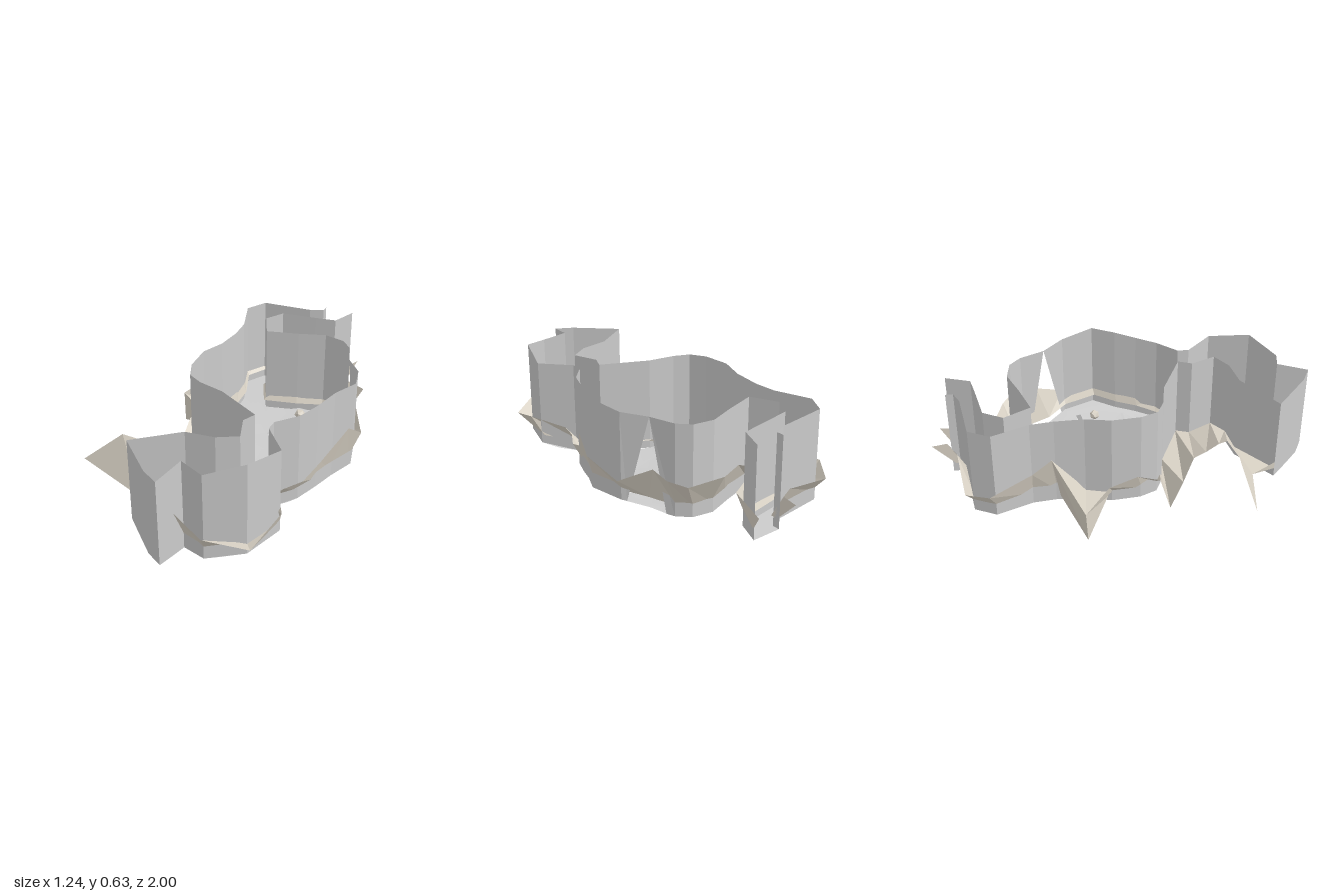
import * as THREE from 'three';
import { mergeVertices } from 'three/addons/utils/BufferGeometryUtils.js';

const grey = { color: 0xcccccc, side: THREE.DoubleSide };
const flatGrey = new THREE.MeshStandardMaterial({ ...grey, flatShading: true });
const smoothGrey = new THREE.MeshStandardMaterial(grey);
const rockMat = new THREE.MeshStandardMaterial({ color: 0xdcd5c8, side: THREE.DoubleSide, flatShading: true });

// Each station: wall x, z, then the outer rim point x, y, z
const rightSide = [
  [0.25, -0.9, 0.28, 0.25, -0.96], [0.2, -0.77, 0.22, 0.27, -0.74],
  [0.09, -0.75, 0.09, 0.3, -0.69], [-0.1, -0.72, -0.05, 0.25, -0.69],
  [-0.16, -0.62, -0.1, 0.22, -0.6], [-0.09, -0.48, -0.04, 0.26, -0.58],
  [0.08, -0.53, 0.06, 0.3, -0.58], [0.22, -0.58, 0.22, 0.32, -0.66],
  [0.33, -0.56, 0.4, 0.3, -0.61], [0.39, -0.5, 0.47, 0.33, -0.54],
  [0.44, -0.37, 0.46, 0.34, -0.42], [0.53, -0.26, 0.56, 0.25, -0.27],
  [0.58, -0.09, 0.62, 0.34, -0.11], [0.52, 0.03, 0.59, 0.42, 0],
  [0.48, 0.14, 0.5, 0.27, 0.13], [0.43, 0.25, 0.46, 0.22, 0.26],
  [0.34, 0.35, 0.4, 0.22, 0.36], [0.34, 0.41, 0.4, 0.24, 0.42],
  [0.47, 0.55, 0.5, 0.27, 0.6], [0.4, 0.76, 0.45, 0.2, 0.83],
  [0.23, 0.87, 0.25, 0.26, 0.93], [0.11, 0.84, 0.09, 0.34, 0.9],
];
const frontEdge = [[0.07, 1], [-0.02, 0.95]];
const leftSide = [
  [-0.22, 0.77, -0.22, 0.2, 0.77], [0, 0.61, -0.24, 0.15, 0.65],
  [0.15, 0.59, -0.24, 0.38, 0.5], [0.25, 0.53, -0.23, 0.36, 0.46],
  [0.2, 0.4, -0.21, 0.3, 0.4], [0.23, 0.33, -0.2, 0.26, 0.34],
  [-0.01, 0.21, -0.24, 0.14, 0.28], [-0.15, 0.18, -0.27, 0, 0.21],
  [-0.23, 0.14, -0.28, 0.2, 0.15],
  [-0.27, 0.05, -0.3, 0.25, 0.03], [-0.28, -0.1, -0.33, 0.22, -0.12],
  [-0.24, -0.23, -0.5, 0.2, -0.26],
  [-0.23, -0.38, -0.27, 0.38, -0.4], [-0.24, -0.5, -0.27, 0.3, -0.5],
  [-0.31, -0.69, -0.36, 0.25, -0.72], [-0.25, -0.8, -0.28, 0.22, -0.84],
  [0.02, -0.83, 0, 0.27, -0.87], [0.09, -0.86, 0.09, 0.28, -0.92],
  [0.09, -0.9, 0.09, 0.27, -1],
];

// Raised plates set in the floor, as x, z corners
const plates = [
  [[0.03, -0.24], [0.06, -0.5], [0.1, -0.53], [0.22, -0.53], [0.26, -0.32]],
  [[0.14, -0.13], [0.48, -0.2], [0.5, -0.07], [0.47, 0.07], [0.3, 0.06], [0.17, 0.03]],
  [[-0.2, -0.05], [-0.07, -0.04], [-0.05, 0.06], [-0.01, 0.13], [-0.17, 0.09]],
];

const floorY = (x, z) => 0.1 + 0.28 * Math.max(0, x - 0.4)
  + 0.02 * Math.exp(-(((z - 0.68) / 0.12) ** 2))
  - 0.035 * Math.exp(-(((x - 0.12) / 0.25) ** 2) - ((z - 0.1) / 0.4) ** 2);
const wallTop = (x, z) => 0.585 + 0.045 * Math.exp(-(((z + 0.05) / 0.2) ** 2)) * (x > 0.3 ? 1 : 0.3)
  + 0.03 * Math.exp(-(((z - 0.76) / 0.08) ** 2)) * (x > 0 ? 1 : -0.6) - (z > 0.84 ? 0.015 : 0);

// Surface between two matching rows of points
function strip(a, b) {
  const pos = [];
  for (let i = 0; i < a.length - 1; i++) {
    pos.push(...a[i], ...a[i + 1], ...b[i + 1], ...a[i], ...b[i + 1], ...b[i]);
  }
  const g = new THREE.BufferGeometry();
  g.setAttribute('position', new THREE.Float32BufferAttribute(pos, 3));
  g.computeVertexNormals();
  return g;
}

// Split every triangle in four
function subdivide(pos) {
  const out = [];
  for (let i = 0; i < pos.length; i += 9) {
    const [a, b, c] = [0, 3, 6].map((k) => new THREE.Vector3().fromArray(pos, i + k));
    const ab = a.clone().lerp(b, 0.5), bc = b.clone().lerp(c, 0.5), ca = c.clone().lerp(a, 0.5);
    for (const v of [a, ab, ca, ab, b, bc, ca, bc, c, ab, bc, ca]) out.push(v.x, v.y, v.z);
  }
  return out;
}

// Rim root: just inside the wall, a little above the floor
function rimRoot([x, z, ox, , oz]) {
  const k = 0.015 / Math.max(0.02, Math.hypot(x - ox, z - oz));
  const ix = x + (x - ox) * k, iz = z + (z - oz) * k;
  return [ix, floorY(ix, iz) + 0.05, iz];
}

export function createModel() {
  const group = new THREE.Group();
  const add = (name, geo, mat) => {
    const m = new THREE.Mesh(geo, mat);
    m.name = name;
    group.add(m);
    return m;
  };

  // Cave floor with openings under the plates
  const toVec = ([x, z]) => new THREE.Vector2(x, -z);
  const shape = new THREE.Shape([...rightSide, ...frontEdge, ...leftSide].map(toVec));
  shape.holes = plates.map((p) => new THREE.Path(p.map(toVec)));
  const flat = new THREE.ShapeGeometry(shape).rotateX(-Math.PI / 2).toNonIndexed();
  const floorPos = subdivide(subdivide(Array.from(flat.attributes.position.array)));
  for (let i = 0; i < floorPos.length; i += 3) floorPos[i + 1] = floorY(floorPos[i], floorPos[i + 2]);
  let floor = new THREE.BufferGeometry();
  floor.setAttribute('position', new THREE.Float32BufferAttribute(floorPos, 3));
  floor = mergeVertices(floor);
  floor.computeVertexNormals();
  add('floor', floor, smoothGrey);

  // Plates: sloped border and a flat lid
  plates.forEach((p) => {
    const cx = p.reduce((s, q) => s + q[0], 0) / p.length;
    const cz = p.reduce((s, q) => s + q[1], 0) / p.length;
    const loop = [...p, p[0]];
    const low = loop.map(([x, z]) => [x, floorY(x, z), z]);
    const high = loop.map(([x, z]) => {
      const ix = cx + (x - cx) * 0.86, iz = cz + (z - cz) * 0.86;
      return [ix, floorY(ix, iz) + 0.025, iz];
    });
    const mid = loop.map(() => [cx, floorY(cx, cz) + 0.025, cz]);
    add('plateBorder', strip(low, high), flatGrey);
    add('plateLid', strip(high, mid), smoothGrey);
  });

  // Upright walls; an optional foot moves the lower corner
  const wall = (name, pts) => add(name, strip(
    pts.map(([x, z, foot]) => (foot ? [foot[0], floorY(...foot), foot[1]] : [x, floorY(x, z), z])),
    pts.map(([x, z]) => [x, wallTop(x, z), z]),
  ), flatGrey);
  const plan = (rows) => rows.map(([x, z]) => [x, z]);
  const [cx, cz] = rightSide[10];
  wall('backWall', [...plan(rightSide.slice(0, 10)), [cx, cz, [0.41, -0.46]]]);
  wall('mainWall', [[cx, cz, [0.51, -0.28]], ...plan(rightSide.slice(11)), ...frontEdge, ...plan(leftSide)]);

  // Rock rims leaning out from the walls
  [['rightRim', rightSide], ['leftRim', leftSide]].forEach(([name, rows]) => {
    add(name, strip(rows.map(rimRoot), rows.map((r) => r.slice(2))), rockMat);
  });

  // Rock spikes jutting from the left rim
  add('frontSpike', strip(
    [[-0.24, 0.15, 0.65], [-0.62, 0.22, 0.57]],
    [[-0.24, 0.38, 0.5], [-0.41, 0.4, 0.52]],
  ), rockMat);
  add('backSpike', strip(
    [[-0.27, 0.38, -0.4], [-0.5, 0.2, -0.26], [-0.33, 0.22, -0.12]],
    [[-0.24, 0.13, -0.36], [-0.49, 0.03, -0.25], [-0.28, 0.13, -0.12]],
  ), rockMat);

  // Loose rocks: x, z, radius
  [[0.15, -0.42, 0.032], [0.29, -0.5, 0.028], [0.22, -0.33, 0.045], [-0.2, -0.17, 0.045],
    [0.43, -0.1, 0.028], [0, 0.09, 0.05], [0.18, 0.18, 0.03]].forEach(([x, z, r], i) => {
    const rock = add('rock', new THREE.IcosahedronGeometry(r, 0), rockMat);
    rock.position.set(x, floorY(x, z) + 0.02 + r, z);
    rock.rotation.set(i, i * 1.7, 0);
  });
  return group;
}
